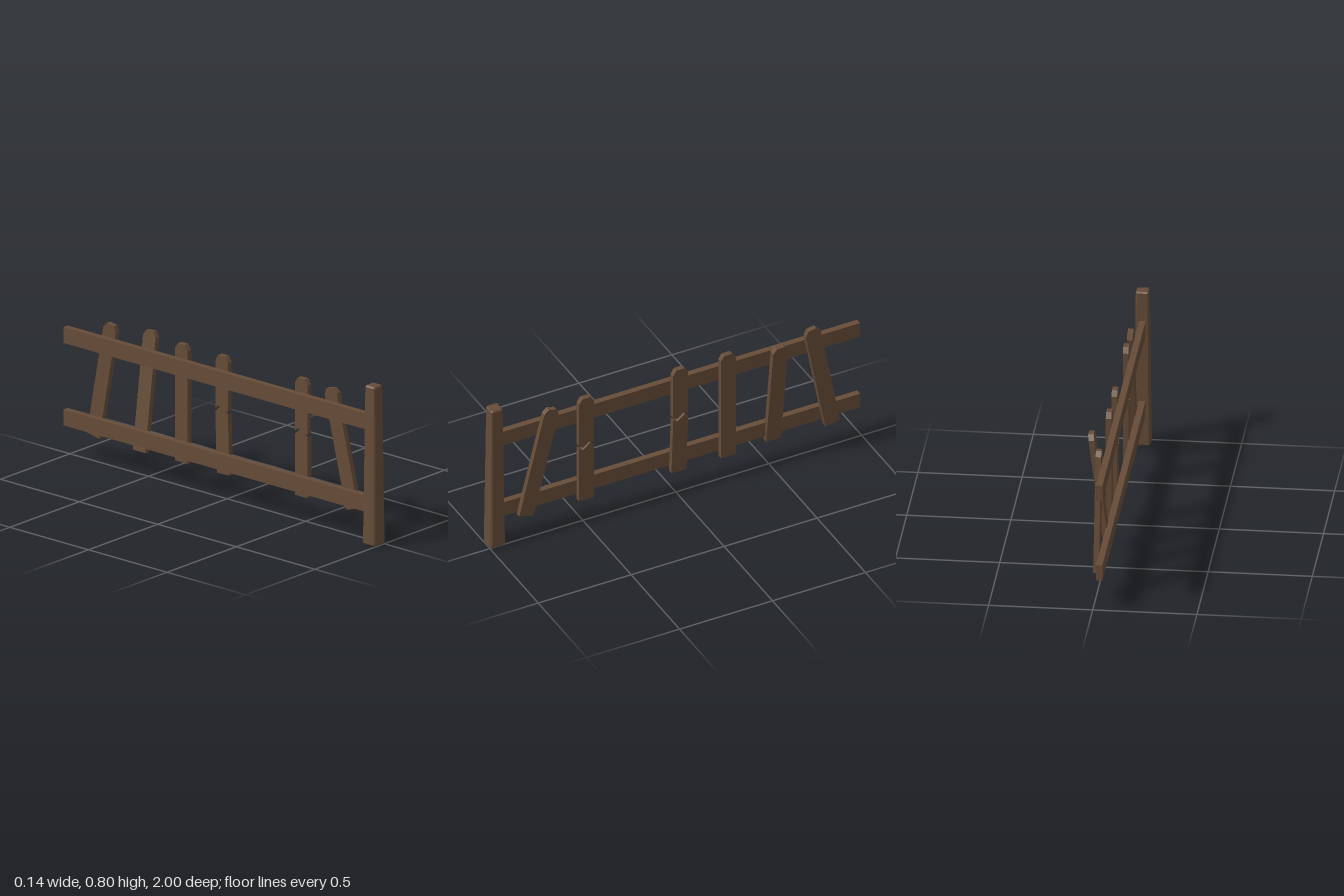
import * as THREE from 'three';

const PICKET_T = 0.027, HALF_W = 0.04, LENGTH = 0.595, BASE_Y = 0.126;

// Jagged break line across a picket, left to right seen from +x
const BREAK = [[-HALF_W, 0.309], [-0.018, 0.295], [0.02, 0.327], [HALF_W, 0.308]];
const GAP = 0.014;
const TIP = [[HALF_W, LENGTH - 0.027], [0.022, LENGTH], [-0.022, LENGTH], [-HALF_W, LENGTH - 0.027]];
const FOOT = [[-HALF_W, 0], [HALF_W, 0]];

const WHOLE = [...FOOT, ...TIP];
const LOWER = [...FOOT, ...[...BREAK].reverse()];
const UPPER = [...BREAK.map(([u, v]) => [u, v + GAP]), ...TIP];

// Flat board with the given outline, facing +x
function boardGeometry(points) {
  const shape = new THREE.Shape(points.map(([u, v]) => new THREE.Vector2(u, v)));
  return new THREE.ExtrudeGeometry(shape, { depth: PICKET_T, bevelEnabled: false })
    .translate(0, 0, -PICKET_T / 2)
    .rotateY(Math.PI / 2);
}

// Chamfered post, slightly narrower at the top
function postGeometry() {
  const h = 0.8, half = 0.04, c = 0.007;
  const i = half - c, e = i - c * 0.5;
  const outline = [[-e, -i], [e, -i], [i, -e], [i, e], [e, i], [-e, i], [-i, e], [-i, -e]];
  const geo = new THREE.ExtrudeGeometry(
    new THREE.Shape(outline.map(([x, y]) => new THREE.Vector2(x, y))),
    { depth: h - 2 * c, bevelEnabled: true, bevelThickness: c, bevelSize: c, bevelSegments: 1 }
  ).translate(0, 0, c).rotateX(-Math.PI / 2);
  const p = geo.attributes.position;
  for (let k = 0; k < p.count; k++) {
    const s = 1 - 0.22 * (p.getY(k) / h);
    p.setX(k, p.getX(k) * s);
    p.setZ(k, p.getZ(k) * s);
  }
  geo.computeVertexNormals();
  return geo;
}

export function createModel() {
  const wood = new THREE.MeshStandardMaterial({ color: 0x664c38 });
  wood.name = 'weathered brown wood';
  const model = new THREE.Group();
  model.name = 'brokenFence';

  const add = (name, geo, x, y, z, rx = 0, rz = 0) => {
    const mesh = new THREE.Mesh(geo, wood);
    mesh.name = name;
    mesh.position.set(x, y, z);
    mesh.rotation.set(rx, 0, rz);
    model.add(mesh);
  };

  add('post', postGeometry(), -0.03, 0, 0.96);

  // Two long rails running back from the post
  const rail = new THREE.BoxGeometry(0.031, 0.08, 1.95);
  add('lowerRail', rail, -0.031, 0.195, -0.025);
  add('upperRail', rail, -0.031, 0.611, -0.025);

  // Whole and broken pickets: outline, foot position, lean along and away from the fence
  const px = -0.0025;
  const pickets = [
    ['leaningPicketFront', WHOLE, px, 0.135, 0.809, -0.241, 0],
    ['brokenPicketLowerA', LOWER, px, BASE_Y, 0.486, 0, 0],
    ['brokenPicketUpperA', UPPER, px, BASE_Y, 0.485, 0, 0],
    ['brokenPicketLowerB', LOWER, px, BASE_Y, -0.011, -0.033, 0],
    ['brokenPicketUpperB', UPPER, px, BASE_Y, -0.02, 0, 0],
    ['straightPicket', WHOLE, px, BASE_Y, -0.277, 0, 0],
    ['loosePicket', WHOLE, -0.021, BASE_Y, -0.53, 0, -0.131],
    ['leaningPicketBack', WHOLE, px, 0.132, -0.839, 0.185, 0],
  ];
  for (const [name, outline, ...place] of pickets) add(name, boardGeometry(outline), ...place);

  return model;
}
